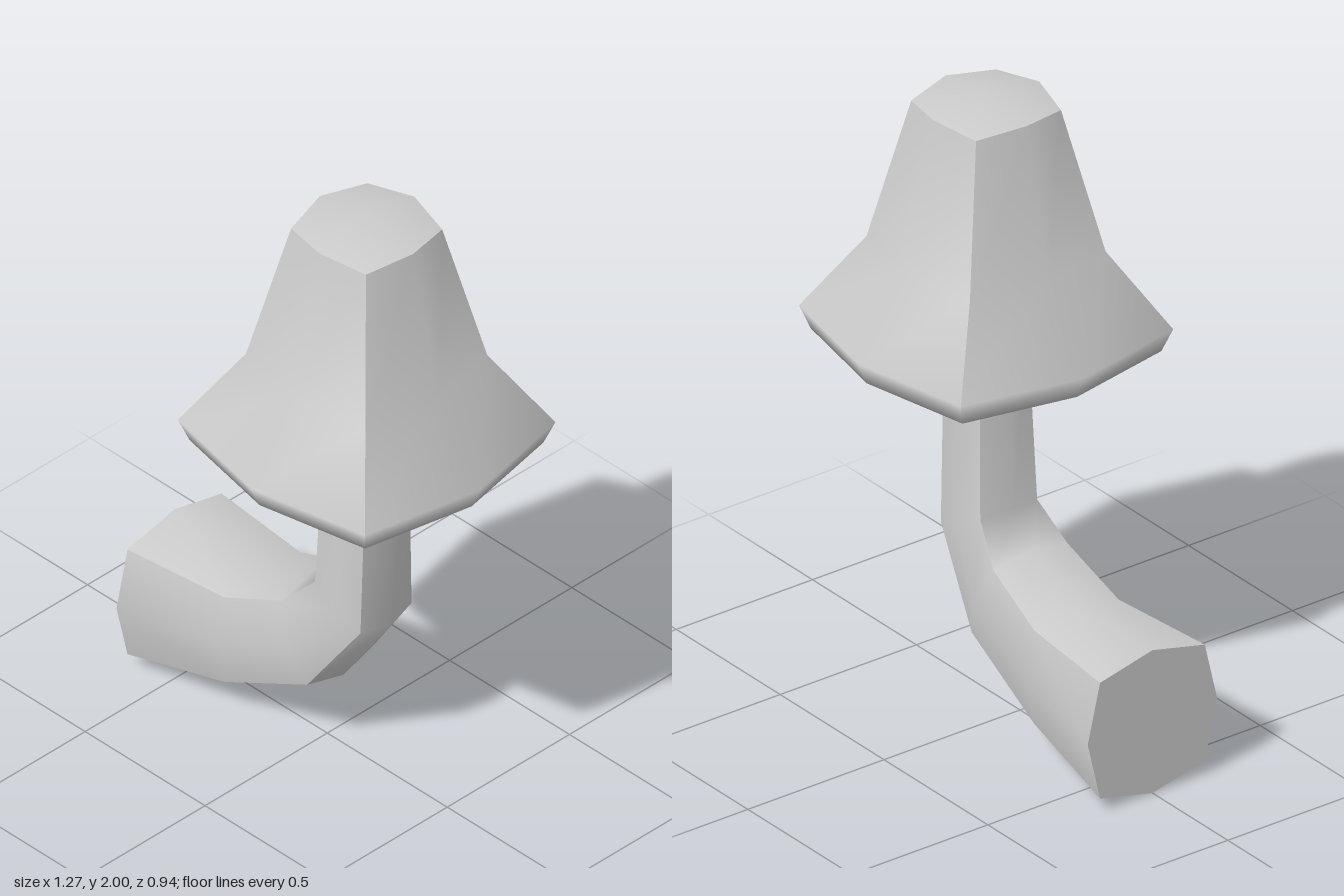
import * as THREE from 'three';

const material = new THREE.MeshStandardMaterial({ color: 0xcccccc });
const V = (x, y, z = 0) => new THREE.Vector3(x, y, z);

// Eight-point ring: a square with bulging sides. u is the in-plane axis, the other axis is -z.
function ring(center, u, mid, corner, cornerDrop = 0) {
  const v = V(0, 0, -1);
  return Array.from({ length: 8 }, (_, j) => {
    const a = (j * Math.PI) / 4;
    const r = j % 2 ? corner * Math.SQRT2 : mid;
    const p = center.clone().addScaledVector(u, r * Math.cos(a)).addScaledVector(v, r * Math.sin(a));
    if (j % 2) p.y -= cornerDrop;
    return p;
  });
}

function meshOf(name, points, index) {
  const geometry = new THREE.BufferGeometry().setFromPoints(points);
  geometry.setIndex(index);
  geometry.computeVertexNormals();
  const mesh = new THREE.Mesh(geometry, material);
  mesh.name = name;
  return mesh;
}

// Four panels with sharp edges between them, smooth along their length
function loft(name, rings) {
  const points = [], index = [];
  for (let k = 0; k < 4; k++) {
    const base = points.length;
    rings.forEach((r, i) => {
      for (let s = 0; s < 3; s++) points.push(r[(2 * k + s + 7) % 8]);
      if (i === 0) return;
      for (let s = 0; s < 2; s++) {
        const c = base + i * 3 + s, a = c - 3;
        index.push(a, a + 1, c + 1, a, c + 1, c);
      }
    });
  }
  return meshOf(name, points, index);
}

// Closes a ring with a fan around a centre point
function fan(name, r, center, flip) {
  const index = [];
  for (let j = 0; j < 8; j++) {
    const n = (j + 1) % 8;
    index.push(8, ...(flip ? [n, j] : [j, n]));
  }
  return meshOf(name, [...r, center], index);
}

export function createModel() {
  const model = new THREE.Group();
  model.name = 'mushroom';

  // Bent stem: outer and inner edge of each section, from the cut end upwards
  const stemRings = [
    [V(-0.637, 0.005), V(-0.637, 0.48)],
    [V(-0.27, 0.092), V(-0.27, 0.475)],
    [V(0.067, 0.255), V(-0.063, 0.565)],
    [V(0.267, 0.55), V(0.033, 0.658)],
    [V(0.272, 1.27), V(0.06, 1.27)],
  ].map(([outer, inner]) => {
    const center = outer.clone().add(inner).multiplyScalar(0.5);
    const half = outer.clone().sub(center);
    const r = half.length();
    return ring(center, half.normalize(), r, r * 0.81);
  });
  const stem = new THREE.Group();
  stem.name = 'stem';
  stem.add(loft('stemSides', stemRings), fan('stemEnd', stemRings[0], V(-0.637, 0.243), true));

  // Bell-shaped cap: height, side radius, corner offset, corner drop
  const capX = 0.164;
  const capRings = [
    [1.25, 0.06, 0.05, 0],
    [1.165, 0.438, 0.365, 0],
    [1.24, 0.47, 0.39, 0],
    [1.485, 0.3, 0.249, 0],
    [1.96, 0.195, 0.156, 0.015],
  ].map(([y, mid, corner, drop]) => ring(V(capX, y), V(1, 0), mid, corner, drop));
  const cap = new THREE.Group();
  cap.name = 'cap';
  cap.add(loft('capSides', capRings), fan('capTop', capRings[4], V(capX, 2), false));

  model.add(stem, cap);
  return model;
}
